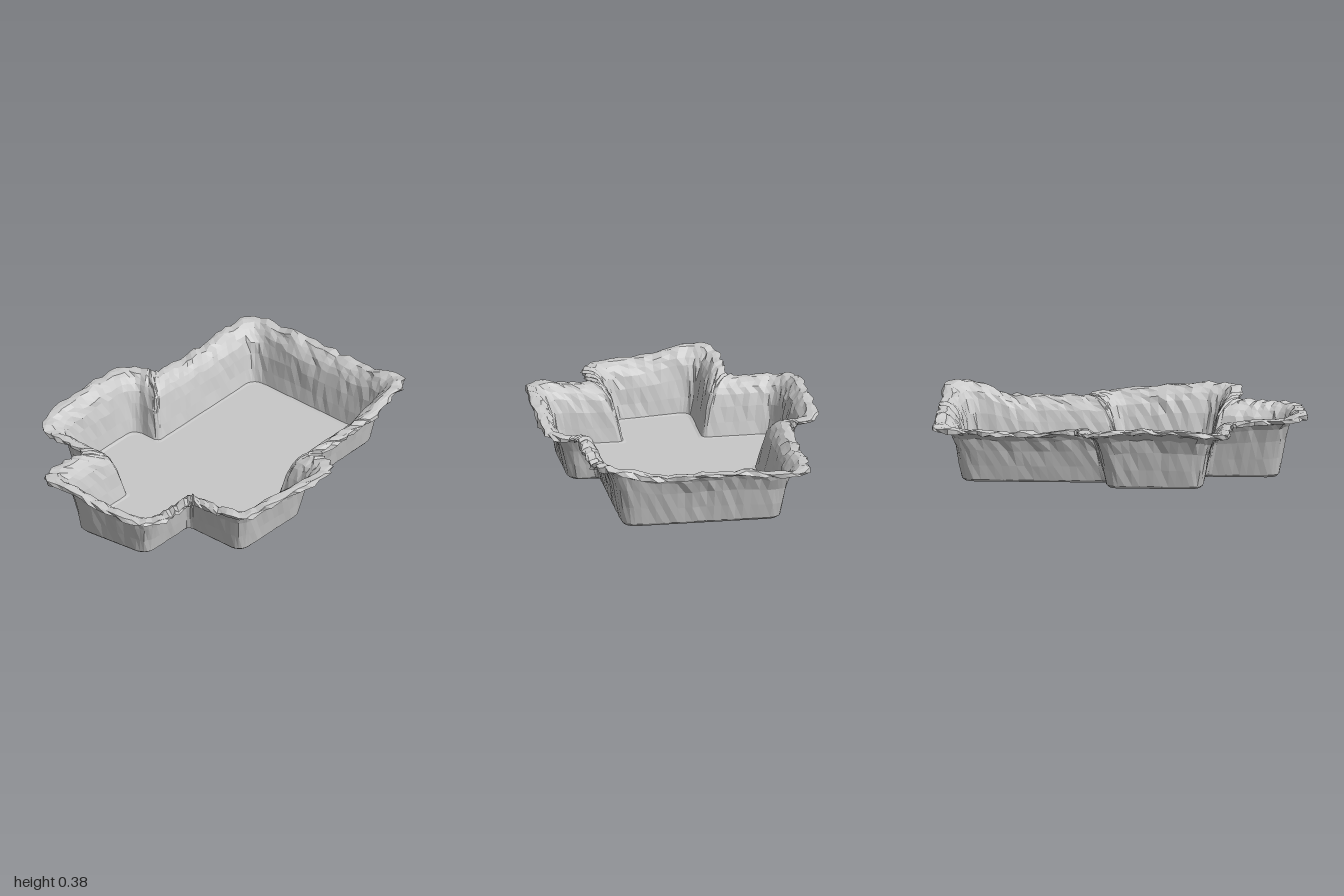
import * as THREE from 'three';

// Corners of the base outline (x, z)
const BASE = [
  [-0.42, -0.83], [0.415, -0.83], [0.415, -0.05], [0.58, -0.05], [0.58, 0.44], [0.215, 0.44],
  [0.215, 0.79], [-0.215, 0.835], [-0.215, 0.44], [-0.59, 0.44], [-0.59, -0.05], [-0.42, -0.05],
].map(([x, z]) => new THREE.Vector2(x, z));

// Rim heights around the edge (x, z, height)
const HEIGHTS = [
  [0.52, -0.92, 0.385], [0.2, -1, 0.325], [-0.15, -1, 0.335], [-0.52, -0.95, 0.31], [-0.56, -0.5, 0.3],
  [0.56, -0.55, 0.3], [0.56, -0.2, 0.3], [-0.56, -0.2, 0.31], [0.74, 0, 0.31], [0.74, 0.3, 0.35],
  [0.65, 0.5, 0.35], [0.38, 0.6, 0.325], [0.36, 0.8, 0.32], [0.2, 0.95, 0.315], [0, 0.97, 0.33],
  [-0.2, 0.98, 0.37], [-0.36, 0.75, 0.345], [-0.42, 0.56, 0.305], [-0.6, 0.56, 0.31],
  [-0.74, 0.4, 0.35], [-0.74, 0.1, 0.355], [-0.72, -0.15, 0.33],
];

// Wall section: outward offset, share of the rim height, roughness
const PROFILE = [
  [0, 0, 0], [0.013, 0.04, 0.002], [0.028, 0.3, 0.005], [0.045, 0.58, 0.006], [0.065, 0.78, 0.008],
  [0.085, 0.87, 0.01], [0.125, 0.91, 0.014], [0.165, 0.92, 0.014],
  [0.165, 0.98, 0.014], [0.14, 0.99, 0.016], [0.112, 0.985, 0.012],
  [0.09, 0.93, 0.01], [0.068, 0.86, 0.008], [0.05, 0.76, 0.008], [0.03, 0.56, 0.006],
  [0.013, 0.3, 0.005], [-0.004, 0.07, 0.002], [-0.02, 0.055, 0],
];

// Repeatable noise in -1..1
function noise(a, b) {
  const s = Math.sin(a * 127.1 + b * 311.7) * 43758.5453;
  return 2 * (s - Math.floor(s)) - 1;
}

function rimHeight(x, z) {
  let sum = 0, total = 0;
  for (const [ax, az, h] of HEIGHTS) {
    const w = 1 / (((x - ax) ** 2 + (z - az) ** 2) ** 2 + 0.0004);
    sum += w * h;
    total += w;
  }
  return sum / total;
}

// Base outline moved outward by d, with rounded corners; always the same point count
function outline(d) {
  const n = BASE.length;
  const corners = BASE.map((p, i) => {
    const e1 = p.clone().sub(BASE[(i + n - 1) % n]).normalize();
    const e2 = BASE[(i + 1) % n].clone().sub(p).normalize();
    const n1 = new THREE.Vector2(e1.y, -e1.x), n2 = new THREE.Vector2(e2.y, -e2.x);
    const at = p.clone().addScaledVector(n1.clone().add(n2), d / (1 + n1.dot(n2)));
    const r = e1.cross(e2) > 0 ? 0.06 + 0.4 * Math.max(d, 0) : 0.03;
    return { at, start: at.clone().addScaledVector(e1, -r), end: at.clone().addScaledVector(e2, r) };
  });
  const points = [];
  corners.forEach((c, i) => {
    const next = corners[(i + 1) % n];
    points.push(...new THREE.QuadraticBezierCurve(
      c.start, c.start.clone().lerp(c.at, 0.9).add(c.end.clone().sub(c.at).multiplyScalar(0.1)), c.end).getPoints(5));
    const steps = Math.max(2, Math.round(BASE[i].distanceTo(BASE[(i + 1) % n]) / 0.04) - 2);
    for (let k = 1; k < steps; k++) points.push(c.end.clone().lerp(next.start, k / steps));
  });
  return points;
}

// One loop of 3D points for each row of the section
function makeRings() {
  const edge = outline(0.15);
  return PROFILE.map(([d, f, rough], k) => outline(d).map((p, i) => {
    const h = rimHeight(edge[i].x, edge[i].y);
    const push = rough * noise(i, k) - (d > 0.15 ? 0.008 : 0);
    const out = edge[i].clone().sub(outlineBase[i]).normalize();
    const lift = f > 0.7 ? rough * 0.6 * noise(i + 50, k < 8 ? 7 : 9) : 0;
    return new THREE.Vector3(p.x + out.x * push, f * h * 0.99 + lift, p.y + out.y * push);
  }));
}
const outlineBase = outline(0);

// Faceted geometry from a flat list of triangle corners
function facets(points) {
  const g = new THREE.BufferGeometry().setFromPoints(points);
  g.computeVertexNormals();
  return g;
}

function strip(rings, from, to) {
  const tris = [];
  for (let k = from; k < to; k++) {
    const lo = rings[k], hi = rings[k + 1];
    lo.forEach((a, i) => {
      const j = (i + 1) % lo.length;
      tris.push(a, hi[i], hi[j], a, hi[j], lo[j]);
    });
  }
  return facets(tris);
}

function cap(ring, y, faceUp) {
  const flat = ring.map((p) => new THREE.Vector2(p.x, p.z));
  ring.forEach((p) => { p.y = y; });
  const tris = [];
  for (const [a, b, c] of THREE.ShapeUtils.triangulateShape(flat, [])) {
    tris.push(ring[a], ring[faceUp ? c : b], ring[faceUp ? b : c]);
  }
  return facets(tris);
}

export function createModel() {
  const group = new THREE.Group();
  const grey = new THREE.MeshStandardMaterial({ color: 0xc8c8c8 });
  grey.name = 'plain grey';
  const add = (name, geometry) => {
    const mesh = new THREE.Mesh(geometry, grey);
    mesh.name = name;
    group.add(mesh);
  };

  const rings = makeRings();
  const last = rings.length - 1;
  // Flat base, inside and underneath
  add('underside', cap(rings[0], 0, false));
  add('trayFloor', cap(rings[last], 0.018, true));
  // Flaring walls and the ragged rim that joins them
  add('outerWall', strip(rings, 0, 5));
  add('raggedRim', strip(rings, 5, 11));
  add('innerWall', strip(rings, 11, last));
  return group;
}
